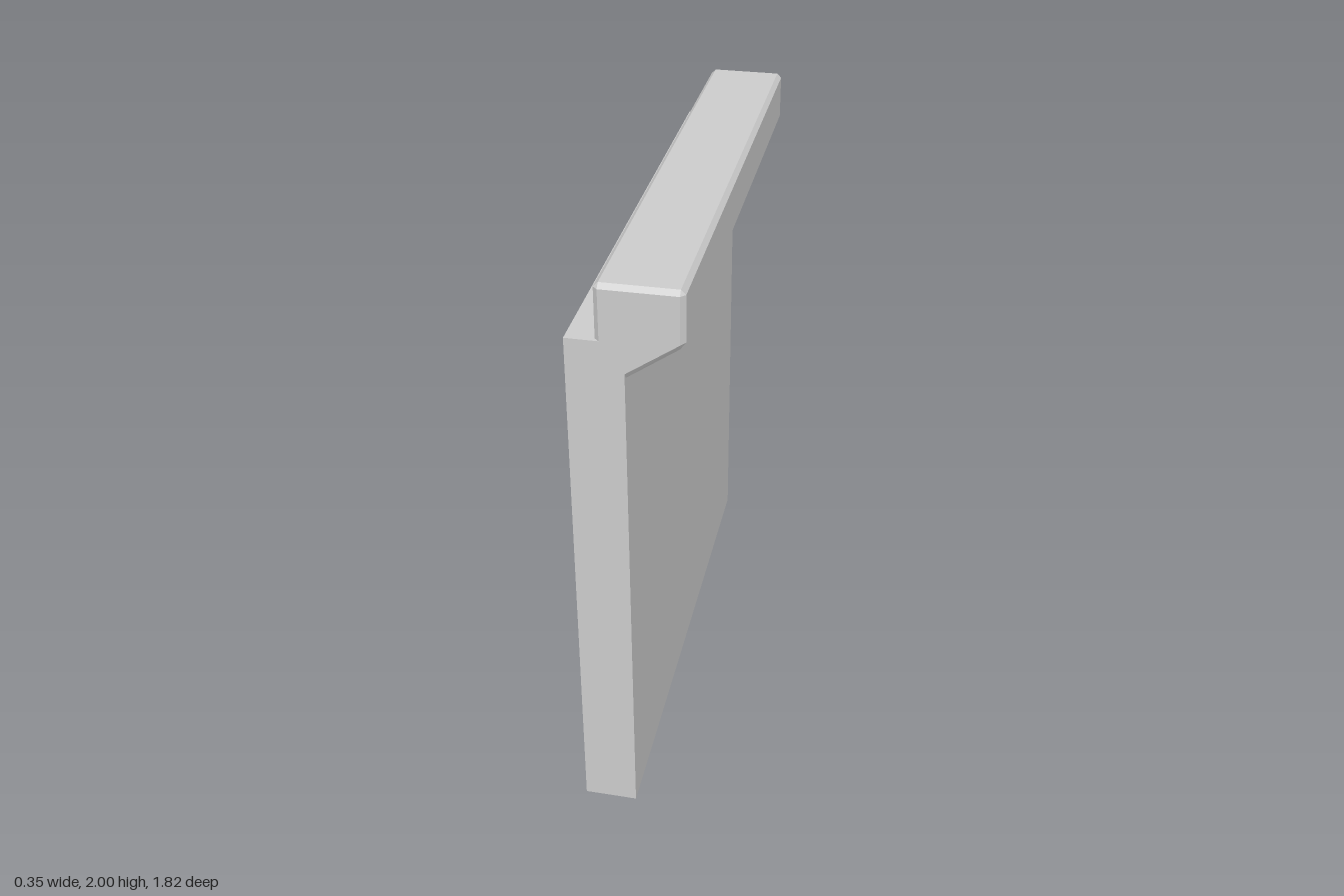
import * as THREE from 'three';
import { ConvexGeometry } from 'three/addons/geometries/ConvexGeometry.js';

const HALF = 0.91; // half length along z
const C = 0.015; // chamfer width

export function createModel() {
  const group = new THREE.Group();
  const material = new THREE.MeshStandardMaterial({ color: 0xcccccc, flatShading: true });
  const add = (name, geometry) => {
    const mesh = new THREE.Mesh(geometry, material);
    mesh.name = name;
    group.add(mesh);
  };

  // Upright slab, cut at its top corner where the coping sits
  const profile = [[-0.177, 0], [0, 0], [0, 1.72], [-0.073, 1.82], [-0.177, 1.82]];
  const shape = new THREE.Shape(profile.map(([x, y]) => new THREE.Vector2(x, y)));
  const slab = new THREE.ExtrudeGeometry(shape, { depth: 2 * HALF, bevelEnabled: false });
  slab.translate(0, 0, -HALF);
  add('wallSlab', slab);

  // Overhanging coping: a convex bar with chamfered edges and ends
  const endFace = [
    [-0.073, 1.82], [-0.073, 2 - C], [0.177 - C, 2 - C], [0.177 - C, 1.832], [0, 1.72],
  ];
  const section = [
    [-0.088, 1.82], [-0.088, 2 - C], [-0.073, 2], [0.177 - C, 2],
    [0.177, 2 - C], [0.177, 1.836], [0.16, 1.812], [0, 1.70],
  ];
  const points = [];
  for (const side of [-1, 1]) {
    for (const [x, y] of endFace) points.push(new THREE.Vector3(x, y, side * HALF));
    for (const [x, y] of section) points.push(new THREE.Vector3(x, y, side * (HALF - C)));
  }
  add('coping', new ConvexGeometry(points));

  return group;
}
